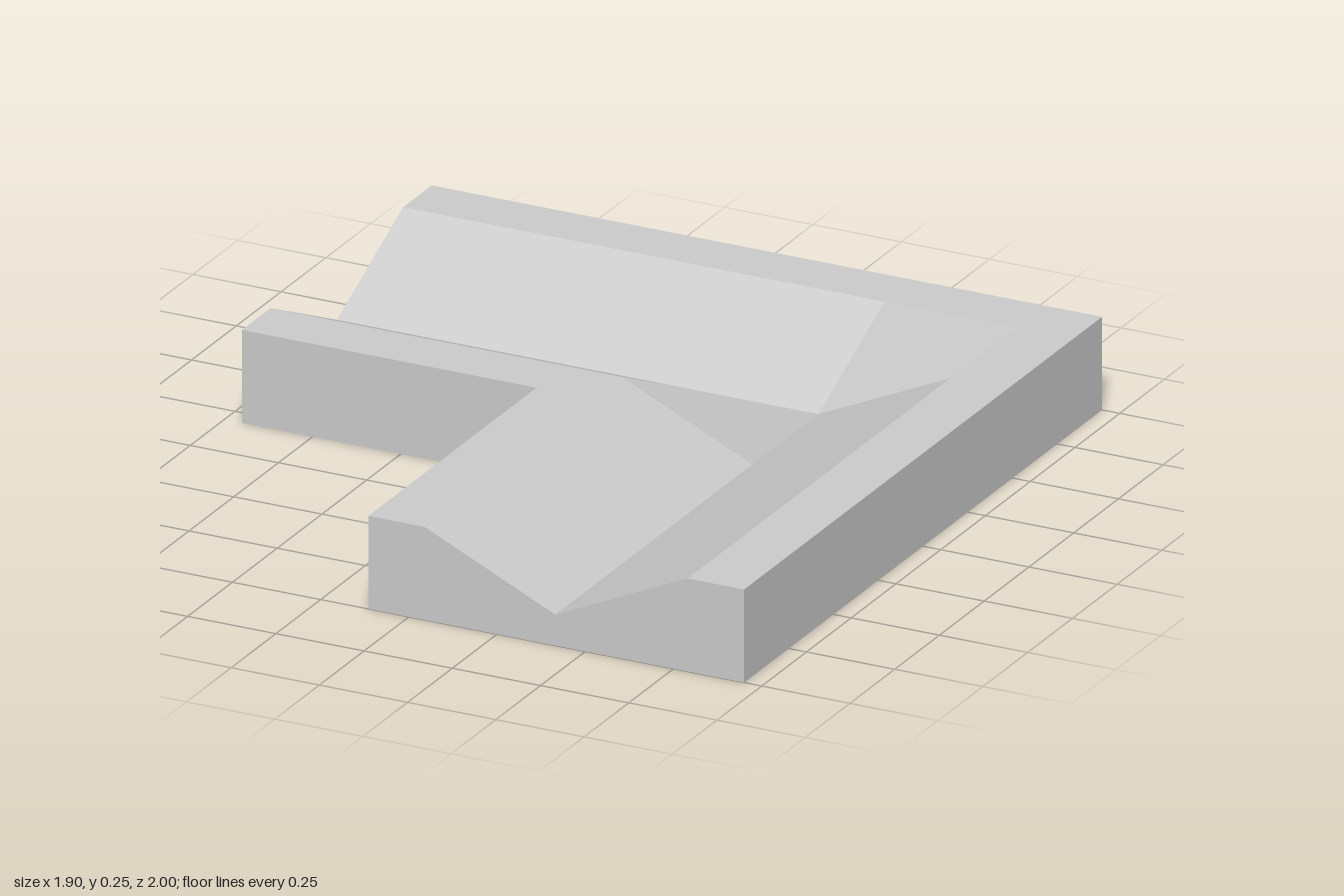
import * as THREE from 'three';

// Grid lines of the L-shaped block and its V channels
const XS = [-0.95, -0.115, 0.045, 0.415, 0.79, 0.95];
const ZS = [-1, -0.84, -0.47, -0.1, 0.06, 1];
const TOP = 0.255, VALLEY = 0.085;
const CX = XS[3], CZ = ZS[2]; // where the two valleys meet

// Cells that belong to the L: the back arm plus the right-hand arm
const inL = (i, j) => i >= 0 && i < 5 && j >= 0 && j < 5 && (j < 4 || i > 0);

// Valleys run from the corner toward -x and toward +z
function height(x, z) {
  const inValley = (z === CZ && x <= CX) || (x === CX && z >= CZ);
  return inValley ? VALLEY : TOP;
}

// Quads to a geometry, one shared normal per quad
function quadGeometry(quads) {
  const pos = [], nor = [];
  for (const [a, b, c, d] of quads) {
    const n = c.clone().sub(a).cross(d.clone().sub(b)).normalize();
    for (const p of [a, b, c, a, c, d]) {
      pos.push(p.x, p.y, p.z);
      nor.push(n.x, n.y, n.z);
    }
  }
  const g = new THREE.BufferGeometry();
  g.setAttribute('position', new THREE.Float32BufferAttribute(pos, 3));
  g.setAttribute('normal', new THREE.Float32BufferAttribute(nor, 3));
  return g;
}

export function createModel() {
  const group = new THREE.Group();
  group.name = 'cornerChannelBlock';
  const material = new THREE.MeshStandardMaterial({ color: 0xcccccc });
  const top = [], walls = [], bottom = [];
  const floor = (p) => new THREE.Vector3(p.x, 0, p.z);

  for (let i = 0; i < 5; i++) {
    for (let j = 0; j < 5; j++) {
      if (!inL(i, j)) continue;
      const corners = [[i, j + 1], [i + 1, j + 1], [i + 1, j], [i, j]].map(
        ([a, b]) => new THREE.Vector3(XS[a], height(XS[a], ZS[b]), ZS[b]));
      top.push(corners);
      bottom.push(corners.map(floor).reverse());
      // Outer walls wherever the neighbouring cell is missing
      [[0, 1], [1, 0], [0, -1], [-1, 0]].forEach(([di, dj], k) => {
        if (inL(i + di, j + dj)) return;
        const p = corners[k], q = corners[(k + 1) % 4];
        walls.push([floor(p), floor(q), q, p]);
      });
    }
  }

  const parts = { channelTop: top, sideWalls: walls, underside: bottom };
  for (const [name, quads] of Object.entries(parts)) {
    const mesh = new THREE.Mesh(quadGeometry(quads), material);
    mesh.name = name;
    group.add(mesh);
  }
  return group;
}
